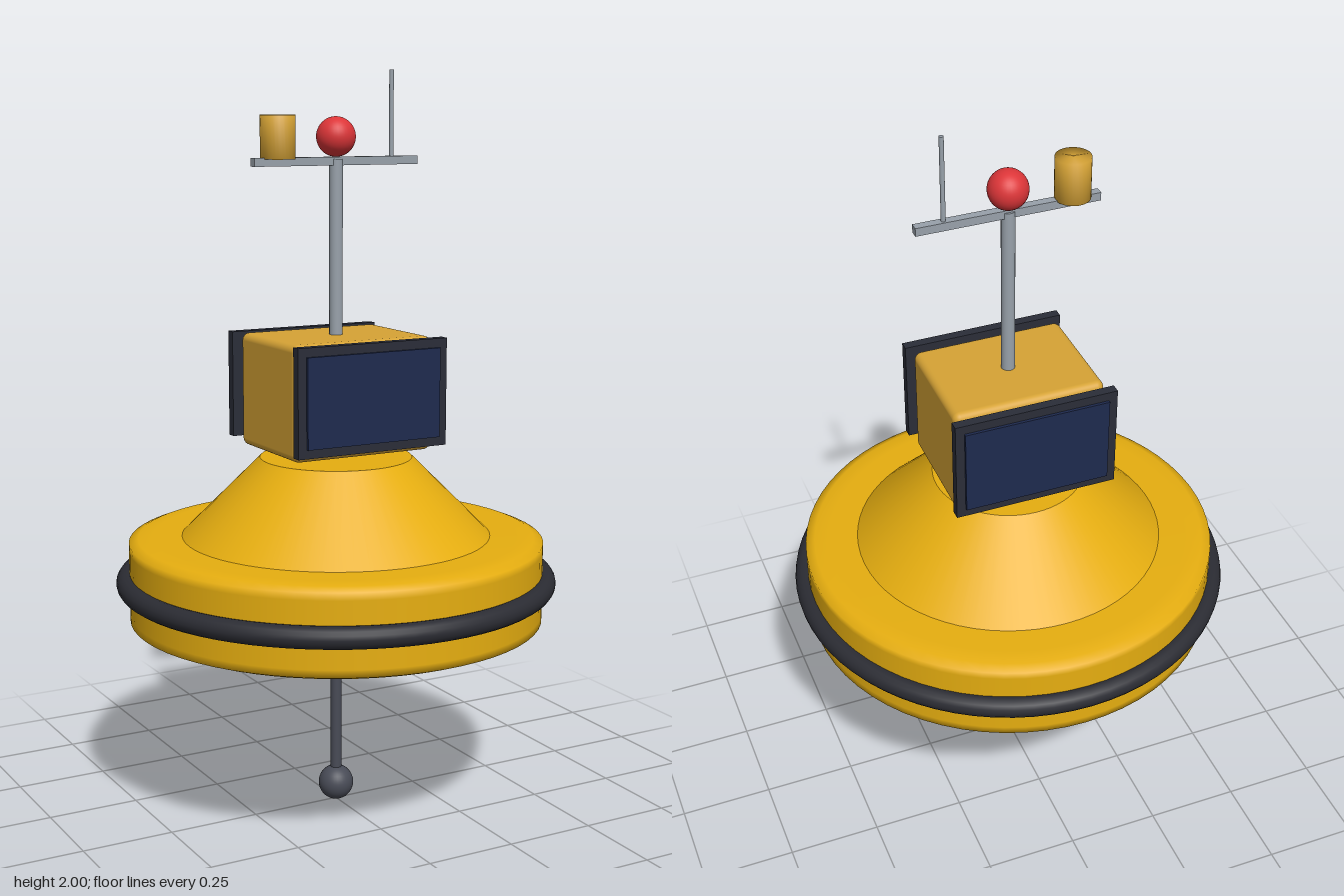
import * as THREE from 'three';
import { RoundedBoxGeometry } from 'three/addons/geometries/RoundedBoxGeometry.js';

const paint = (name, color) => {
  const m = new THREE.MeshStandardMaterial({ color });
  m.name = name;
  return m;
};

export function createModel() {
  const yellow = paint('hull yellow', 0xe6ae10);
  const ochre = paint('housing ochre', 0xd6a335);
  const rubber = paint('rubber black', 0x2b2c33);
  const frameDark = paint('frame charcoal', 0x2a2d38);
  const navy = paint('solar navy', 0x1e2a4e);
  const steel = paint('mast grey', 0x98a1aa);
  const iron = paint('keel grey', 0x484b56);
  const red = paint('lamp red', 0xdc3538);

  const model = new THREE.Group();
  model.name = 'buoy';
  const add = (name, geometry, material, x = 0, y = 0, z = 0, parent = model) => {
    const mesh = new THREE.Mesh(geometry, material);
    mesh.name = name;
    mesh.position.set(x, y, z);
    parent.add(mesh);
    return mesh;
  };
  const lathe = (points, segments) =>
    new THREE.LatheGeometry(points.map(([r, y]) => new THREE.Vector2(r, y)), segments);
  // Upright rod between two heights
  const rod = (name, r, y0, y1, material, x = 0) =>
    add(name, new THREE.CylinderGeometry(r, r, y1 - y0, 20), material, x, (y0 + y1) / 2);

  // Float with softened rims, cone on top and rubber fender around it
  add('float', lathe([[0, 0.528], [0.5, 0.528], [0.535, 0.53], [0.56, 0.54], [0.56, 0.56],
    [0.56, 0.735], [0.56, 0.755], [0.535, 0.765], [0.49, 0.768], [0, 0.768]], 64), yellow);
  add('cone', new THREE.CylinderGeometry(0.205, 0.42, 0.215, 64), yellow, 0, 0.8725);
  const fender = add('fender', new THREE.TorusGeometry(0.567, 0.029, 16, 72), rubber, 0, 0.645);
  fender.rotation.x = Math.PI / 2;

  // Keel rod and ballast ball
  rod('keelRod', 0.015, 0.05, 0.53, iron);
  add('ballast', new THREE.SphereGeometry(0.048, 32, 20), iron, 0, 0.052);

  // Equipment housing with a framed solar panel front and back
  add('housing', new RoundedBoxGeometry(0.412, 0.305, 0.318, 4, 0.02), ochre, 0, 1.1575);
  for (const side of [1, -1]) {
    const panel = new THREE.Group();
    panel.name = side > 0 ? 'frontPanel' : 'backPanel';
    add('panelFrame', new THREE.BoxGeometry(0.44, 0.285, 0.026), frameDark, 0, 1.1675, 0.19, panel);
    add('solarCells', new THREE.BoxGeometry(0.392, 0.237, 0.009), navy, 0, 1.1675, 0.2065, panel);
    panel.rotation.y = side > 0 ? 0 : Math.PI;
    model.add(panel);
  }

  // Mast, crossbar, lamp, reflector and antenna
  rod('mast', 0.018, 1.3, 1.77, steel);
  add('crossbar', new THREE.BoxGeometry(0.484, 0.022, 0.023), steel, 0, 1.765);
  add('lamp', new THREE.SphereGeometry(0.052, 32, 24), red, 0, 1.828);
  add('reflector', lathe([[0, 0], [0.046, 0], [0.046, 0.112], [0, 0.112]], 32), ochre, -0.17, 1.772);
  rod('antenna', 0.006, 1.77, 2, steel, 0.167);

  return model;
}
